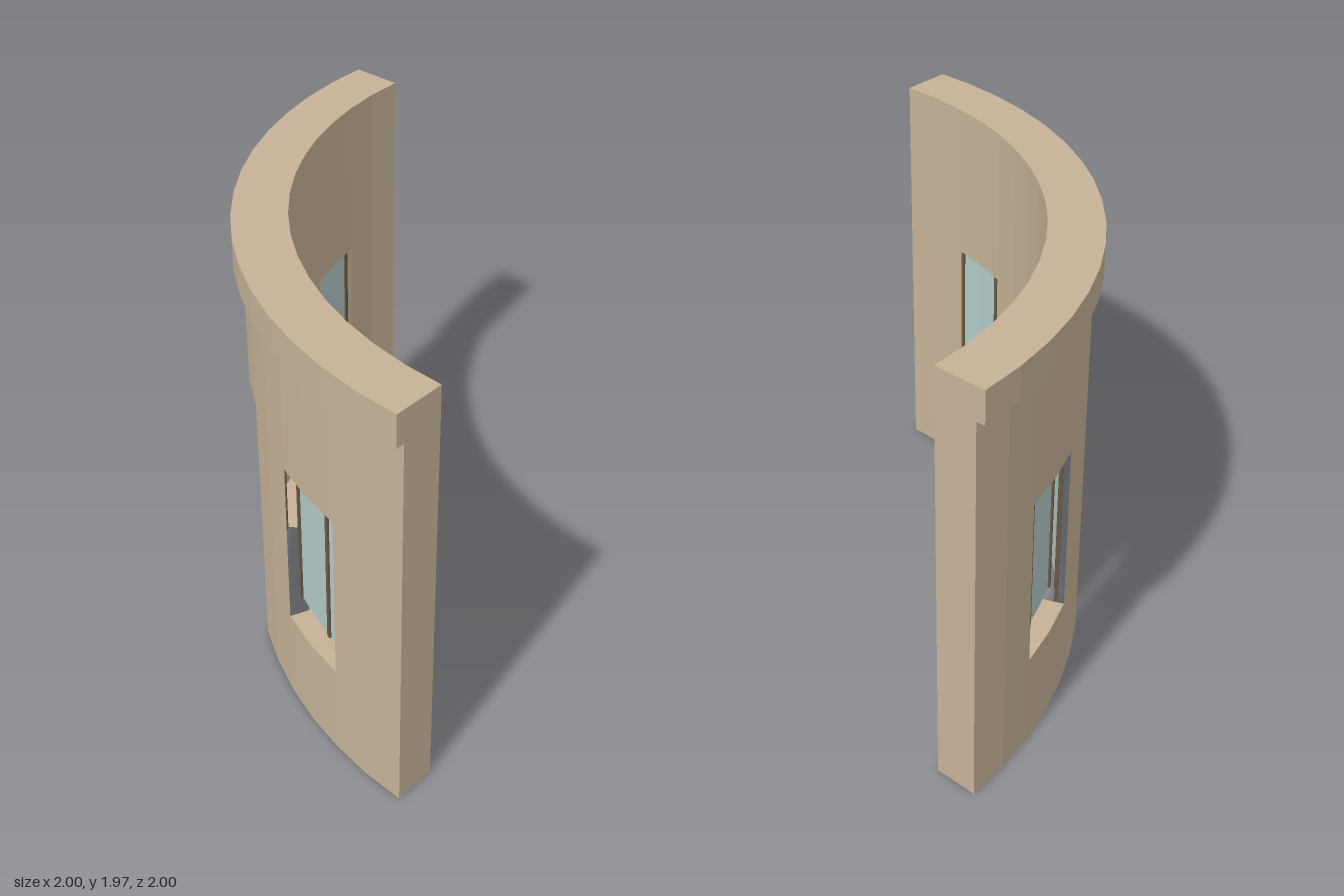
import * as THREE from 'three';

// The plan is a quarter ring about (1, -1); angles in degrees run from the left end to the back end
const INNER = 1.765, OUTER = 1.96, CORNICE = 2.0, GLASS = 1.866;
const TOP = 1.965, LEDGE = 1.82, STEP = 90 / 16;

const wallMat = new THREE.MeshStandardMaterial({ name: 'tan wall', color: 0xc6b297, side: THREE.DoubleSide, flatShading: true });
const glassMat = new THREE.MeshStandardMaterial({ name: 'pale glass', color: 0xb2cac6, side: THREE.DoubleSide, flatShading: true });
const barMat = new THREE.MeshStandardMaterial({ name: 'dark brown bar', color: 0x6b5a48 });

// Openings: first and last ring segment, bottom and top
const openings = [
  { name: 'leftWindow', from: 2, to: 4, y0: 0.44, y1: 1.23, bars: 3, reach: 8.35 },
  { name: 'door', from: 6, to: 10, y0: 0, y1: 1.28, bars: 4, reach: 10.8 },
  { name: 'rightWindow', from: 12, to: 14, y0: 0.44, y1: 1.23, bars: 3, reach: 8.35 },
];

function point(deg, r, y) {
  const a = THREE.MathUtils.degToRad(deg);
  return [1 - r * Math.sin(a), y, -1 + r * Math.cos(a)];
}

// Collects four-cornered faces into one geometry
class Faces {
  constructor() { this.pos = []; }
  quad(a, b, c, d, flip = false) {
    const order = flip ? [a, c, b, a, d, c] : [a, b, c, a, c, d];
    for (const p of order) this.pos.push(...p);
  }
  upright(t0, t1, r, y0, y1, inward = false) {
    this.quad(point(t1, r, y0), point(t0, r, y0), point(t0, r, y1), point(t1, r, y1), inward);
  }
  level(t0, t1, r0, r1, y, down = false) {
    this.quad(point(t1, r1, y), point(t0, r1, y), point(t0, r0, y), point(t1, r0, y), down);
  }
  end(t, r0, r1, y0, y1, far) {
    this.quad(point(t, r1, y0), point(t, r0, y0), point(t, r0, y1), point(t, r1, y1), far);
  }
  mesh(name, material) {
    const g = new THREE.BufferGeometry();
    g.setAttribute('position', new THREE.Float32BufferAttribute(this.pos, 3));
    g.computeVertexNormals();
    const m = new THREE.Mesh(g, material);
    m.name = name;
    return m;
  }
}

// Hollow curved wall with open jambs, sills and soffits
function makeWall() {
  const f = new Faces();
  for (let i = 0; i < 16; i++) {
    const t0 = i * STEP, t1 = t0 + STEP;
    const hole = openings.find(o => i >= o.from && i < o.to);
    const low = hole ? hole.y1 : 0;
    f.upright(t0, t1, OUTER, low, LEDGE);
    f.upright(t0, t1, INNER, low, TOP, true);
    f.level(t0, t1, INNER, OUTER, low, true);
    if (hole && hole.y0 > 0) {
      f.upright(t0, t1, OUTER, 0, hole.y0);
      f.upright(t0, t1, INNER, 0, hole.y0, true);
      f.level(t0, t1, INNER, OUTER, hole.y0);
      f.level(t0, t1, INNER, OUTER, 0, true);
    }
  }
  for (const t of [0, 90]) f.end(t, INNER, OUTER, 0, LEDGE, t > 0);
  return f.mesh('curvedWall', wallMat);
}

// Projecting band along the top
function makeCornice() {
  const f = new Faces();
  for (let i = 0; i < 16; i++) {
    const t0 = i * STEP, t1 = t0 + STEP;
    f.upright(t0, t1, CORNICE, LEDGE, TOP);
    f.level(t0, t1, OUTER, CORNICE, LEDGE, true);
    f.level(t0, t1, INNER, CORNICE, TOP);
  }
  for (const t of [0, 90]) f.end(t, INNER, CORNICE, LEDGE, TOP, t > 0);
  return f.mesh('cornice', wallMat);
}

// Curved glazing with upright bars
function makeGlazing(o) {
  const group = new THREE.Group();
  group.name = o.name;
  const mid = (o.from + o.to) / 2 * STEP;
  const glass = new Faces();
  for (let i = 0; i < 4; i++) {
    const t = mid - o.reach + i * o.reach / 2;
    glass.upright(t, t + o.reach / 2, GLASS, o.y0, o.y1);
  }
  group.add(glass.mesh(o.name + 'Glass', glassMat));
  for (let i = 0; i < o.bars; i++) {
    const t = mid - o.reach + 2 * o.reach * i / (o.bars - 1);
    const bar = new THREE.Mesh(new THREE.BoxGeometry(0.019, o.y1 - o.y0, 0.017), barMat);
    bar.name = o.name + 'Bar';
    bar.position.set(...point(t, GLASS, (o.y0 + o.y1) / 2));
    bar.rotation.y = -THREE.MathUtils.degToRad(t);
    group.add(bar);
  }
  return group;
}

export function createModel() {
  const model = new THREE.Group();
  model.name = 'curvedWallSection';
  model.add(makeWall(), makeCornice(), ...openings.map(makeGlazing));
  return model;
}
